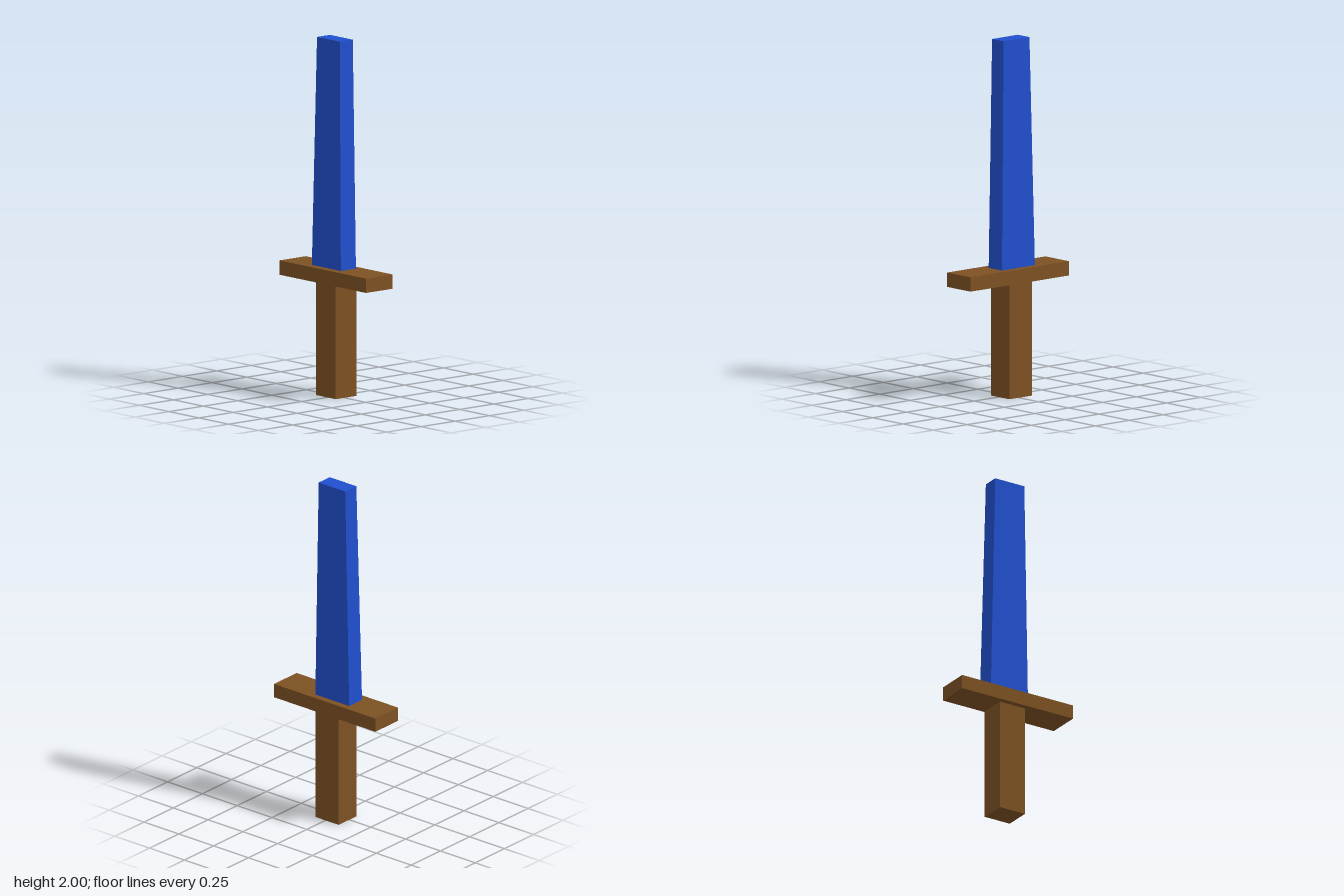
import * as THREE from 'three';

// Box spanning two corner points
function boxBetween(name, material, [x0, y0, z0], [x1, y1, z1]) {
  const mesh = new THREE.Mesh(new THREE.BoxGeometry(x1 - x0, y1 - y0, z1 - z0), material);
  mesh.position.set((x0 + x1) / 2, (y0 + y1) / 2, (z0 + z1) / 2);
  mesh.name = name;
  return mesh;
}

// Box tapering from a base rectangle to a top rectangle, each [x0, x1, z0, z1]
function taperedBox(name, material, y0, y1, base, top) {
  const geometry = new THREE.BoxGeometry(1, 1, 1);
  const p = geometry.attributes.position;
  for (let i = 0; i < p.count; i++) {
    const upper = p.getY(i) > 0;
    const r = upper ? top : base;
    p.setXYZ(i, p.getX(i) < 0 ? r[0] : r[1], upper ? y1 : y0, p.getZ(i) < 0 ? r[2] : r[3]);
  }
  geometry.computeVertexNormals();
  const mesh = new THREE.Mesh(geometry, material);
  mesh.name = name;
  return mesh;
}

export function createModel() {
  const wood = new THREE.MeshStandardMaterial({ color: 0x7d5122, flatShading: true });
  wood.name = 'brown wood';
  const blue = new THREE.MeshStandardMaterial({ color: 0x214fce, flatShading: true });
  blue.name = 'blue blade';

  const sword = new THREE.Group();
  sword.name = 'sword';
  sword.add(
    // Square grip, set slightly off centre
    boxBetween('grip', wood, [-0.095, 0, -0.09], [0.07, 0.64, 0.063]),
    // Flat crossguard
    boxBetween('crossguard', wood, [-0.364, 0.64, -0.097], [0.364, 0.72, 0.097]),
    // Blunt tapering blade
    taperedBox('blade', blue, 0.72, 2,
      [-0.145, 0.098, -0.06, 0.05], [-0.111, 0.08, -0.053, 0.042]),
  );
  return sword;
}
